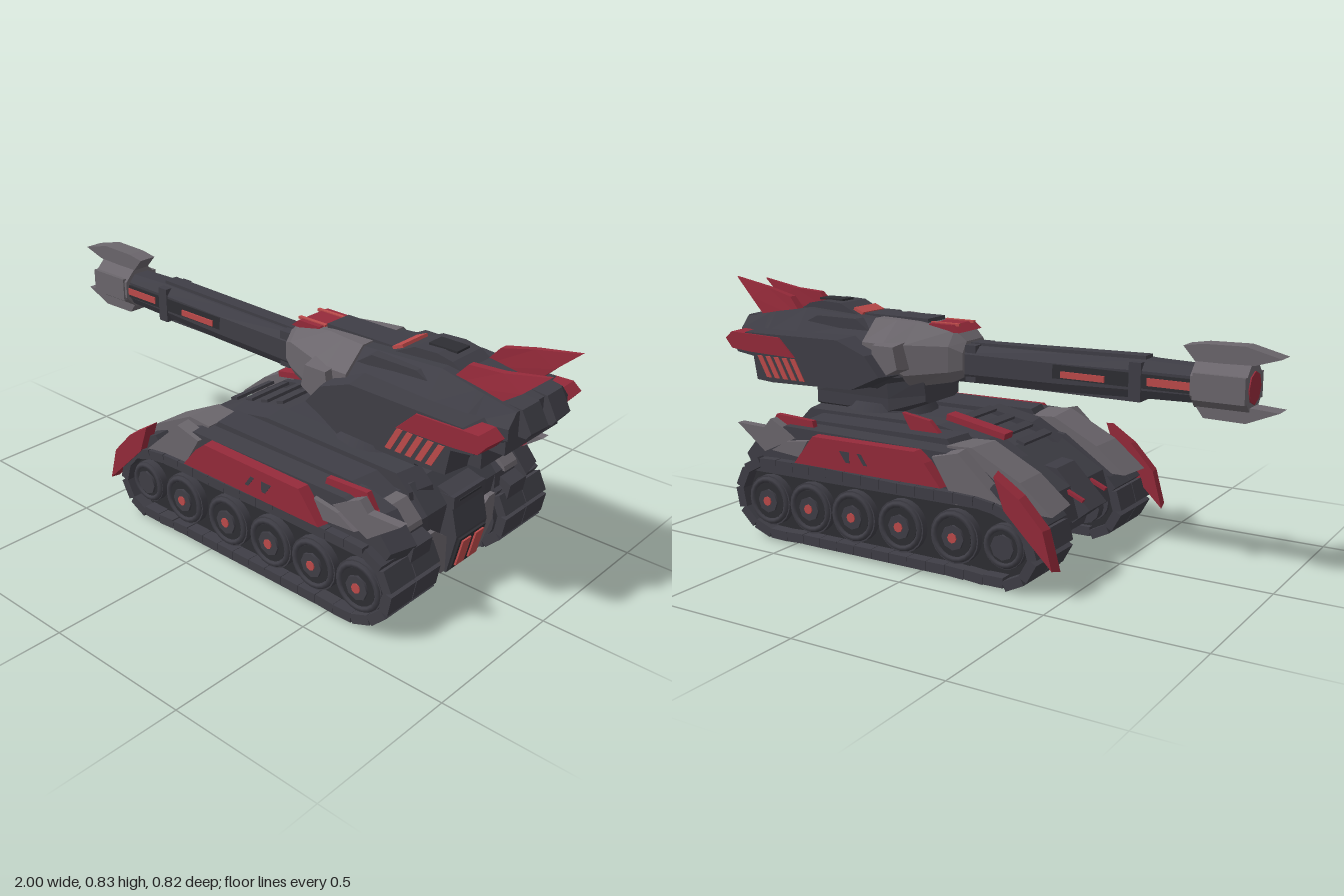
import * as THREE from 'three';
import { mergeGeometries } from 'three/addons/utils/BufferGeometryUtils.js';

const mat = (name, color) => Object.assign(new THREE.MeshStandardMaterial({ color }), { name });

export function createModel() {
  const root = new THREE.Group();
  root.name = 'tank';
  const dark = mat('charcoal armour', 0x3f3e46), black = mat('black rubber', 0x2e2e33);
  const grey = mat('warm grey armour', 0x6b666c), red = mat('crimson armour', 0x952a3a);
  const glow = mat('bright red light', 0xbd4a4a);

  const add = (name, geo, m) => {
    const mesh = new THREE.Mesh(geo, m);
    mesh.name = name;
    root.add(mesh);
    return mesh;
  };

  // Side profile (x, y) extruded from z0 to z1; k0 and k1 shrink the end faces
  function slab(name, m, pts, z0, z1, k0 = 1, k1 = 1) {
    const shape = new THREE.Shape(pts.map(p => new THREE.Vector2(...p)));
    const geo = new THREE.ExtrudeGeometry(shape, { depth: z1 - z0, bevelEnabled: false });
    const cx = pts.reduce((s, p) => s + p[0], 0) / pts.length;
    const cy = pts.reduce((s, p) => s + p[1], 0) / pts.length;
    const pos = geo.attributes.position;
    for (let i = 0; i < pos.count; i++) {
      const far = pos.getZ(i) > (z1 - z0) / 2, k = far ? k1 : k0;
      pos.setXYZ(i, cx + (pos.getX(i) - cx) * k, cy + (pos.getY(i) - cy) * k, far ? z1 : z0);
    }
    geo.computeVertexNormals();
    return add(name, geo, m);
  }
  const pair = (name, m, pts, z0, z1, k0 = 1, k1 = 1) => {
    slab(name + 'Left', m, pts, z0, z1, k0, k1);
    slab(name + 'Right', m, pts, -z1, -z0, k1, k0);
  };
  // Cross-section (z, y) extruded along x
  const beam = (name, m, pts, x0, x1) =>
    slab(name, m, pts.map(([z, y]) => [-z, y]), x0, x1).geometry.rotateY(Math.PI / 2);
  const box = (name, m, x0, x1, y0, y1, z0, z1, tilt = 0) => {
    const geo = new THREE.BoxGeometry(x1 - x0, y1 - y0, z1 - z0);
    geo.rotateZ(tilt).translate((x0 + x1) / 2, (y0 + y1) / 2, (z0 + z1) / 2);
    return add(name, geo, m);
  };
  const boxPair = (name, m, x0, x1, y0, y1, z0, z1, tilt = 0) => {
    box(name + 'Left', m, x0, x1, y0, y1, z0, z1, tilt);
    box(name + 'Right', m, x0, x1, y0, y1, -z1, -z0, tilt);
  };

  // Faceted body along x; each section is [x, bottom, top, halfWidth, topHalfWidth, shoulderY]
  function loft(name, m, sections) {
    const rings = sections.map(([x, b, t, w, tw, s]) => [
      [x, b, w * 0.75], [x, b + (s - b) * 0.3, w], [x, s, w], [x, t, tw],
      [x, t, -tw], [x, s, -w], [x, b + (s - b) * 0.3, -w], [x, b, -w * 0.75]]);
    const v = [], tri = (...p) => p.forEach(q => v.push(...q));
    for (let i = 0; i < rings.length - 1; i++) for (let j = 0; j < 8; j++) {
      const a = rings[i], c = rings[i + 1], k = (j + 1) % 8;
      tri(a[j], c[j], c[k]);
      tri(a[j], c[k], a[k]);
    }
    const s = rings[0], e = rings[rings.length - 1];
    for (let j = 1; j < 7; j++) { tri(s[0], s[j], s[j + 1]); tri(e[0], e[j + 1], e[j]); }
    const geo = new THREE.BufferGeometry();
    geo.setAttribute('position', new THREE.Float32BufferAttribute(v, 3));
    geo.computeVertexNormals();
    return add(name, geo, m);
  }

  // Tracks: a filled core and two rows of pads around the loop
  const loop = [[-0.34, 0.022], [-0.1, 0.019], [0.2, 0.019], [0.45, 0.019], [0.61, 0.022], [0.7, 0.075],
    [0.722, 0.16], [0.67, 0.24], [0.5, 0.258], [0.1, 0.252], [-0.26, 0.243], [-0.36, 0.2], [-0.4, 0.1]];
  const path = new THREE.CatmullRomCurve3(loop.map(p => new THREE.Vector3(...p, 0)), true);
  const core = path.getSpacedPoints(48).slice(0, 48).map(p => [p.x, p.y]);
  pair('trackCore', black, core, 0.19, 0.36);
  const pads = [], count = 36;
  for (let i = 0; i < count; i++) {
    const p = path.getPointAt(i / count), t = path.getTangentAt(i / count);
    for (const z of [0.227, 0.344]) for (const side of [1, -1]) {
      const pad = new THREE.BoxGeometry(0.068, 0.032, 0.113);
      pads.push(pad.rotateZ(Math.atan2(t.y, t.x)).translate(p.x, Math.max(p.y, 0.0165), z * side));
    }
  }
  add('trackPads', mergeGeometries(pads), dark);

  // Road wheels with raised rims, red hubs and inner axle bosses
  const disc = (name, m, x, y, r, z, h, n) =>
    add(name, new THREE.CylinderGeometry(r, r, h, n).toNonIndexed().rotateX(Math.PI / 2).translate(x, y, z), m);
  for (const side of [1, -1]) [-0.3, -0.125, 0.075, 0.26, 0.435, 0.61].forEach((x, i) => {
    const r = i ? 0.086 : 0.07;
    disc('wheel', dark, x, 0.125, r, 0.279 * side, 0.21, 20);
    add('wheelRim', new THREE.TorusGeometry(r * 0.83, 0.01, 6, 20).translate(x, 0.125, 0.384 * side), dark);
    disc('wheelRecess', black, x, 0.125, r * 0.72, 0.384 * side, 0.006, 20);
    disc('wheelBoss', dark, x, 0.125, 0.04, 0.386 * side, 0.018, 8);
    disc('innerBoss', dark, x, 0.11, 0.055, 0.16 * side, 0.045, 12);
    if (i) disc('wheelHub', glow, x, 0.125, 0.016, 0.393 * side, 0.012, 8);
  });

  // Central hull with chamfered keel, and deck
  slab('hull', dark, [[-0.38, 0.14], [0.66, 0.14], [0.69, 0.3], [0.62, 0.38],
    [0.52, 0.4], [0.05, 0.4], [-0.16, 0.35], [-0.35, 0.24]], -0.175, 0.175);
  beam('keel', dark, [[-0.1, 0.07], [0.1, 0.07], [0.168, 0.15], [-0.168, 0.15]], -0.32, 0.66);
  pair('deckRail', dark, [[-0.22, 0.33], [0.66, 0.3], [0.65, 0.36], [0.6, 0.41], [0.05, 0.415], [-0.12, 0.385]], 0.1, 0.19, 1, 0.95);
  slab('nosePlate', dark, [[-0.42, 0.17], [-0.36, 0.12], [-0.2, 0.3], [-0.3, 0.29]], -0.06, 0.06);
  boxPair('noseLamp', red, -0.41, -0.33, 0.215, 0.225, 0.07, 0.086, 0.4);
  for (let i = 0; i < 4; i++) box('deckRib', dark, -0.2 + i * 0.07, -0.17 + i * 0.07, 0.36 + i * 0.018, 0.37 + i * 0.018, -0.09, 0.09, 0.3);
  box('deckStripe', red, -0.17, 0.05, 0.405, 0.425, -0.16, -0.11, 0.18);
  slab('deckFin', red, [[-0.01, 0.38], [0.11, 0.38], [0.155, 0.455], [0.05, 0.44]], -0.255, -0.237);

  // Rear hull with vents and cheek plates
  slab('rearBlock', dark, [[0.6, 0.065], [0.7, 0.065], [0.73, 0.2], [0.7, 0.33], [0.6, 0.36]], -0.078, 0.078);
  slab('ventRecess', black, [[0.68, 0.075], [0.708, 0.075], [0.736, 0.19], [0.68, 0.19]], -0.066, 0.066);
  pair('ventLight', glow, [[0.68, 0.085], [0.717, 0.085], [0.74, 0.18], [0.68, 0.18]], 0.012, 0.054);
  for (const side of [1, -1]) beam('rearCheek', grey, [[0.078, 0.07], [0.1, 0.07], [0.165, 0.145], [0.175, 0.235],
    [0.14, 0.235], [0.078, 0.19]].map(([z, y]) => [z * side, y]), 0.6, 0.695);
  box('rearStep', dark, 0.66, 0.715, 0.29, 0.33, -0.08, 0.08);
  box('rearStepGap', black, 0.7, 0.718, 0.31, 0.316, -0.055, 0.055);

  // Fenders
  pair('innerFender', dark, [[-0.38, 0.22], [0.69, 0.22], [0.69, 0.3], [0.6, 0.36], [0.0, 0.37], [-0.2, 0.34]], 0.17, 0.29);
  pair('outerFender', dark, [[-0.36, 0.22], [0.7, 0.21], [0.735, 0.27], [0.66, 0.36], [0.55, 0.39], [-0.1, 0.385], [-0.17, 0.36]], 0.28, 0.372, 1, 0.95);
  pair('fenderRidge', dark, [[-0.1, 0.35], [0.62, 0.35], [0.52, 0.4], [-0.06, 0.405]], 0.2, 0.3, 1, 0.95);
  pair('fenderNose', grey, [[-0.43, 0.22], [-0.3, 0.22], [-0.12, 0.3], [-0.06, 0.39], [-0.15, 0.395], [-0.32, 0.31]], 0.19, 0.325, 0.95, 1);
  pair('fenderCheek', grey, [[-0.3, 0.25], [-0.13, 0.225], [-0.04, 0.37], [-0.14, 0.395]], 0.34, 0.387, 1, 0.94);
  pair('fenderCheekTrim', dark, [[-0.38, 0.2], [-0.2, 0.235], [-0.26, 0.31], [-0.31, 0.29]], 0.325, 0.378);
  pair('rearPanel', grey, [[0.6, 0.295], [0.7, 0.295], [0.695, 0.31], [0.64, 0.365], [0.6, 0.365]], 0.21, 0.285);
  pair('rearMudguard', dark, [[0.6, 0.2], [0.72, 0.2], [0.73, 0.26], [0.64, 0.3]], 0.2, 0.29);
  pair('sidePanel', red, [[-0.1, 0.278], [0.485, 0.278], [0.405, 0.378], [0.0, 0.382], [-0.04, 0.35]], 0.35, 0.41, 1, 0.97);
  pair('sidePanelSlot', dark, [[0.18, 0.31], [0.195, 0.31], [0.22, 0.345], [0.205, 0.345]], 0.407, 0.411);
  pair('sidePanelMark', dark, [[0.25, 0.31], [0.265, 0.31], [0.29, 0.345], [0.25, 0.345]], 0.407, 0.411);
  pair('rearSkirt', grey, [[0.47, 0.29], [0.6, 0.3], [0.53, 0.34], [0.43, 0.355]], 0.36, 0.387, 1, 0.9);
  pair('rearSpike', grey, [[0.5, 0.35], [0.63, 0.29], [0.67, 0.32], [0.745, 0.375], [0.63, 0.372], [0.6, 0.405], [0.55, 0.38]], 0.345, 0.376);
  pair('rearSpikeLining', red, [[0.44, 0.37], [0.64, 0.3], [0.69, 0.34], [0.63, 0.365], [0.6, 0.415], [0.45, 0.408]], 0.325, 0.345);
  pair('frontFin', red, [[-0.48, 0.075], [-0.4, 0.152], [-0.305, 0.245], [-0.267, 0.35], [-0.36, 0.29], [-0.445, 0.2]], 0.362, 0.403, 1, 0.93);

  // Turret ring and neck
  add('turretRing', new THREE.CylinderGeometry(0.14, 0.17, 0.05, 16).toNonIndexed().translate(0.38, 0.415, 0), dark);
  loft('turretNeck', dark, [[0.17, 0.45, 0.54, 0.1, 0.11, 0.48], [0.3, 0.4, 0.54, 0.13, 0.14, 0.46],
    [0.6, 0.4, 0.54, 0.13, 0.13, 0.46]]);

  // Turret body, front collar and side pods
  loft('turretBody', dark, [[0.18, 0.51, 0.69, 0.12, 0.08, 0.63], [0.34, 0.48, 0.715, 0.165, 0.09, 0.64],
    [0.66, 0.48, 0.735, 0.17, 0.1, 0.65], [0.79, 0.485, 0.715, 0.165, 0.115, 0.65], [0.815, 0.56, 0.71, 0.16, 0.115, 0.645],
    [0.92, 0.6, 0.69, 0.15, 0.115, 0.65]]);
  loft('turretCollar', grey, [[0.04, 0.55, 0.665, 0.075, 0.05, 0.63], [0.08, 0.53, 0.7, 0.1, 0.06, 0.65],
    [0.22, 0.505, 0.717, 0.15, 0.07, 0.65], [0.29, 0.56, 0.72, 0.172, 0.085, 0.65], [0.37, 0.62, 0.722, 0.174, 0.097, 0.652]]);
  box('collarSpine', dark, 0.19, 0.45, 0.705, 0.727, -0.05, 0.05);
  pair('sidePod', dark, [[0.24, 0.55], [0.36, 0.495], [0.72, 0.485], [0.79, 0.49], [0.805, 0.575], [0.88, 0.585], [0.91, 0.62],
    [0.84, 0.66], [0.42, 0.665], [0.3, 0.62]], 0.14, 0.232, 1, 0.94);
  pair('podCheek', grey, [[0.2, 0.57], [0.28, 0.53], [0.33, 0.6], [0.32, 0.66], [0.22, 0.66]], 0.13, 0.198, 1, 0.8);
  pair('podBlade', red, [[0.6, 0.583], [0.8, 0.588], [0.89, 0.595], [0.92, 0.63], [0.89, 0.655], [0.67, 0.65]], 0.165, 0.239, 1, 0.95);
  for (let i = 0; i < 5; i++) {
    const x = 0.57 + i * 0.036;
    pair('podLight', glow, [[x, 0.507], [x + 0.021, 0.507], [x + 0.061, 0.58], [x + 0.04, 0.58]], 0.229, 0.235);
  }

  // Turret roof and rear
  slab('hatch', dark, [[0.44, 0.715], [0.76, 0.7], [0.68, 0.75], [0.62, 0.762], [0.53, 0.758]], -0.07, 0.07, 0.9, 0.9);
  box('hatchLight', glow, 0.45, 0.49, 0.728, 0.738, -0.06, 0.06, 0.4);
  box('hatchWindow', black, 0.56, 0.66, 0.757, 0.764, -0.03, 0.03);
  pair('roofBlock', dark, [[0.36, 0.68], [0.68, 0.68], [0.6, 0.72], [0.42, 0.72]], 0.075, 0.13, 1, 0.9);
  pair('rearPod', dark, [[0.7, 0.61], [0.95, 0.61], [0.965, 0.63], [0.93, 0.695], [0.72, 0.715]], 0.02, 0.1, 1, 0.96);
  box('rearBar', dark, 0.84, 0.905, 0.56, 0.605, -0.135, 0.135);
  box('rearLowerPanel', dark, 0.78, 0.835, 0.495, 0.55, -0.14, 0.14);
  slab('collarCap', red, [[0.045, 0.69], [0.2, 0.69], [0.18, 0.718], [0.08, 0.718]], -0.068, 0.068, 0.85, 0.85);
  boxPair('collarCapLight', glow, 0.07, 0.18, 0.711, 0.719, 0.038, 0.05);

  // Roof fins: wide at the base, narrowing to an edge at the tip
  for (const [side, tip] of [[1, 0.802], [-1, 0.822]]) {
    const fin = slab('roofFin', red, [[0.67, 0.69], [0.85, 0.69], [0.92, tip - 0.065], [0.995, tip], [0.85, tip - 0.027], [0.74, 0.768]], -0.5, 0.5);
    const pos = fin.geometry.attributes.position;
    for (let i = 0; i < pos.count; i++) {
      const t = (pos.getY(i) - 0.69) / (tip - 0.69);
      pos.setZ(i, side * (0.085 - 0.009 * t) + pos.getZ(i) * 0.038 * (1 - 0.75 * t * t));
    }
    fin.geometry.computeVertexNormals();
  }

  // Gun barrel
  loft('barrel', dark, [[-0.78, 0.55, 0.655, 0.052, 0.03, 0.63], [-0.58, 0.545, 0.66, 0.055, 0.03, 0.63],
    [-0.3, 0.535, 0.655, 0.058, 0.035, 0.625], [0.08, 0.53, 0.65, 0.065, 0.035, 0.625]]);
  box('barrelSpine', dark, -0.58, 0.05, 0.64, 0.665, -0.025, 0.025, -0.02);
  box('barrelKeel', dark, -0.55, 0.03, 0.528, 0.55, -0.03, 0.03);
  for (const x of [-0.58, 0.0]) box('barrelBand', dark, x, x + 0.04, 0.535, 0.655, -0.06, 0.06);
  boxPair('barrelSlot', black, -0.74, -0.28, 0.578, 0.622, 0.05, 0.059);
  boxPair('barrelLightFront', glow, -0.74, -0.6, 0.588, 0.612, 0.055, 0.062);
  boxPair('barrelLightRear', glow, -0.46, -0.31, 0.583, 0.603, 0.057, 0.064);

  // Muzzle brake with upper and lower prongs
  const muzzle = new THREE.CylinderGeometry(0.076, 0.076, 0.17, 8).toNonIndexed();
  muzzle.rotateY(Math.PI / 8).rotateZ(Math.PI / 2).translate(-0.825, 0.605, 0);
  muzzle.computeVertexNormals();
  add('muzzle', muzzle, grey);
  add('muzzleBore', new THREE.CylinderGeometry(0.05, 0.05, 0.01, 8).rotateZ(Math.PI / 2).translate(-0.909, 0.605, 0), red);
  slab('upperProng', grey, [[-1, 0.7], [-0.92, 0.675], [-0.74, 0.67], [-0.7, 0.715], [-0.76, 0.725], [-0.89, 0.728]], -0.032, 0.032);
  slab('lowerProng', grey, [[-1, 0.545], [-0.9, 0.503], [-0.77, 0.505], [-0.74, 0.545], [-0.92, 0.55]], -0.032, 0.032);
  boxPair('muzzleSidePlate', grey, -0.91, -0.75, 0.565, 0.645, 0.062, 0.076);

  return root;
}
